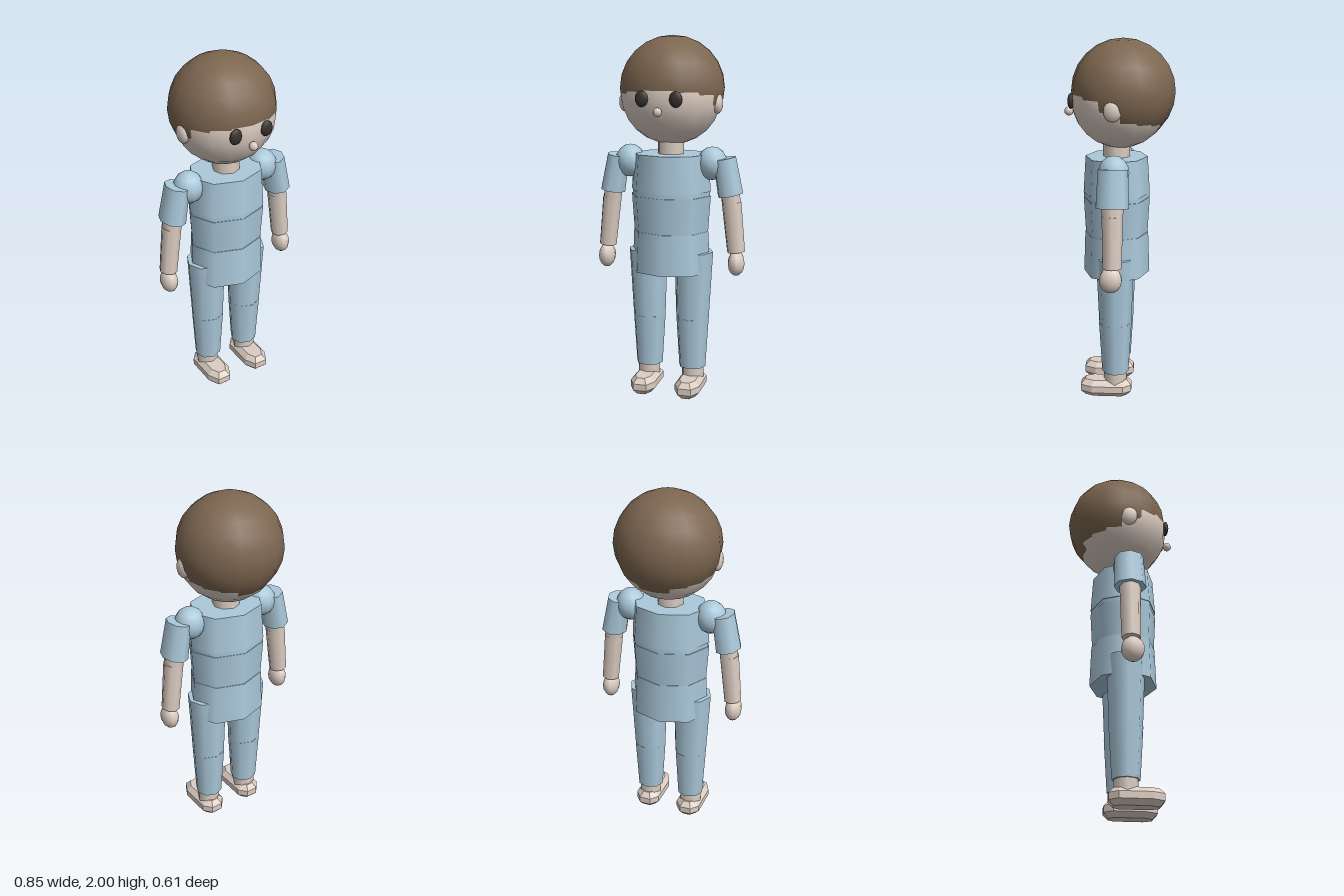
import * as THREE from 'three';

const mat = (name, color) => {
  const m = new THREE.MeshStandardMaterial({ color });
  m.name = name;
  return m;
};

export function createModel() {
  const skin = mat('skin', 0xdccdc2);
  const hair = mat('hair', 0x7c6650);
  const cloth = mat('blue cloth', 0xabc9db);
  const eye = mat('eye', 0x37322f);
  const model = new THREE.Group();
  model.name = 'figure';
  const Z = 0.016; // body axis

  const add = (parent, name, geometry, material) => {
    const mesh = new THREE.Mesh(geometry, material);
    mesh.name = name;
    parent.add(mesh);
    return mesh;
  };

  const ball = (parent, name, material, pos, radii, w = 16, h = 12) => {
    const mesh = add(parent, name, new THREE.SphereGeometry(1, w, h), material);
    mesh.position.set(...pos);
    mesh.scale.set(...radii);
    return mesh;
  };

  // Tapered oval cylinder from top [x, y] to bottom [x, y]; depth is z radius / x radius
  const taper = (parent, name, material, top, bottom, rTop, rBottom, depth = 1, sides = 8) => {
    const dx = top[0] - bottom[0], dy = top[1] - bottom[1];
    const geo = new THREE.CylinderGeometry(rTop, rBottom, Math.hypot(dx, dy), sides);
    const mesh = add(parent, name, geo, material);
    mesh.position.set((top[0] + bottom[0]) / 2, (top[1] + bottom[1]) / 2, Z);
    mesh.rotation.z = Math.atan2(-dx, dy);
    mesh.scale.z = depth;
    return mesh;
  };

  // Head: the hair is a larger ball set up and back over the skull
  const head = new THREE.Group();
  head.name = 'head';
  model.add(head);
  ball(head, 'skull', skin, [0, 1.683, -0.006], [0.279, 0.274, 0.274]);
  ball(head, 'hair', hair, [0, 1.716, -0.02], [0.29, 0.284, 0.284]);
  ball(head, 'nose', skin, [0, 1.605, 0.278], [0.025, 0.025, 0.025], 8, 6);
  for (const s of [1, -1]) {
    ball(head, 'eye', eye, [s * 0.093, 1.672, 0.255], [0.036, 0.043, 0.018], 10, 8);
    ball(head, 'ear', skin, [s * 0.262, 1.64, 0.02], [0.03, 0.057, 0.05], 10, 8);
  }
  taper(model, 'neck', skin, [0, 1.45], [0, 1.32], 0.075, 0.075);

  // Torso
  taper(model, 'chest', cloth, [0, 1.36], [0, 1.155], 0.212, 0.228, 0.81);
  taper(model, 'band', cloth, [0, 1.157], [0, 1.128], 0.222, 0.222, 0.82);
  taper(model, 'waist', cloth, [0, 1.13], [0, 0.928], 0.228, 0.214, 0.81);
  taper(model, 'hips', cloth, [0, 0.93], [0, 0.7], 0.216, 0.226, 0.82);

  // Foot: chamfered sole outline, bevelled above and below
  const sole = new THREE.Shape();
  [[-0.02, 0.05], [0.02, 0.05], [0.045, 0.02], [0.045, -0.14], [0.022, -0.185],
    [-0.022, -0.185], [-0.045, -0.14], [-0.045, 0.02]]
    .reverse()
    .forEach(([x, y], i) => (i ? sole.lineTo(x, y) : sole.moveTo(x, y)));
  const footGeo = new THREE.ExtrudeGeometry(sole, {
    depth: 0.037, bevelEnabled: true, bevelThickness: 0.029, bevelSize: 0.026, bevelSegments: 1,
  });
  footGeo.rotateX(-Math.PI / 2);
  footGeo.translate(0, 0.029, 0);

  for (const s of [1, -1]) {
    const side = s > 0 ? 'left' : 'right';
    const arm = new THREE.Group();
    arm.name = side + 'Arm';
    const leg = new THREE.Group();
    leg.name = side + 'Leg';
    model.add(arm, leg);

    // Arm
    ball(arm, 'shoulder', cloth, [s * 0.235, 1.312, Z], [0.085, 0.092, 0.083], 12, 8);
    taper(arm, 'sleeve', cloth, [s * 0.303, 1.342], [s * 0.339, 1.142], 0.064, 0.071, 1.24);
    taper(arm, 'upperArm', skin, [s * 0.33, 1.2], [s * 0.348, 1.065], 0.056, 0.051, 1.08);
    taper(arm, 'forearm', skin, [s * 0.345, 1.1], [s * 0.374, 0.825], 0.055, 0.05, 1.02);
    ball(arm, 'hand', skin, [s * 0.377, 0.762, 0.024], [0.047, 0.07, 0.063], 10, 8);

    // Leg
    taper(leg, 'thigh', cloth, [s * 0.132, 0.815], [s * 0.127, 0.43], 0.112, 0.095, 0.95);
    taper(leg, 'shin', cloth, [s * 0.127, 0.432], [s * 0.127, 0.14], 0.095, 0.077, 0.97);
    taper(leg, 'ankle', skin, [s * 0.13, 0.16], [s * 0.13, 0.07], 0.064, 0.064);
    add(leg, 'foot', footGeo, skin).position.x = s * 0.13;
  }
  return model;
}
